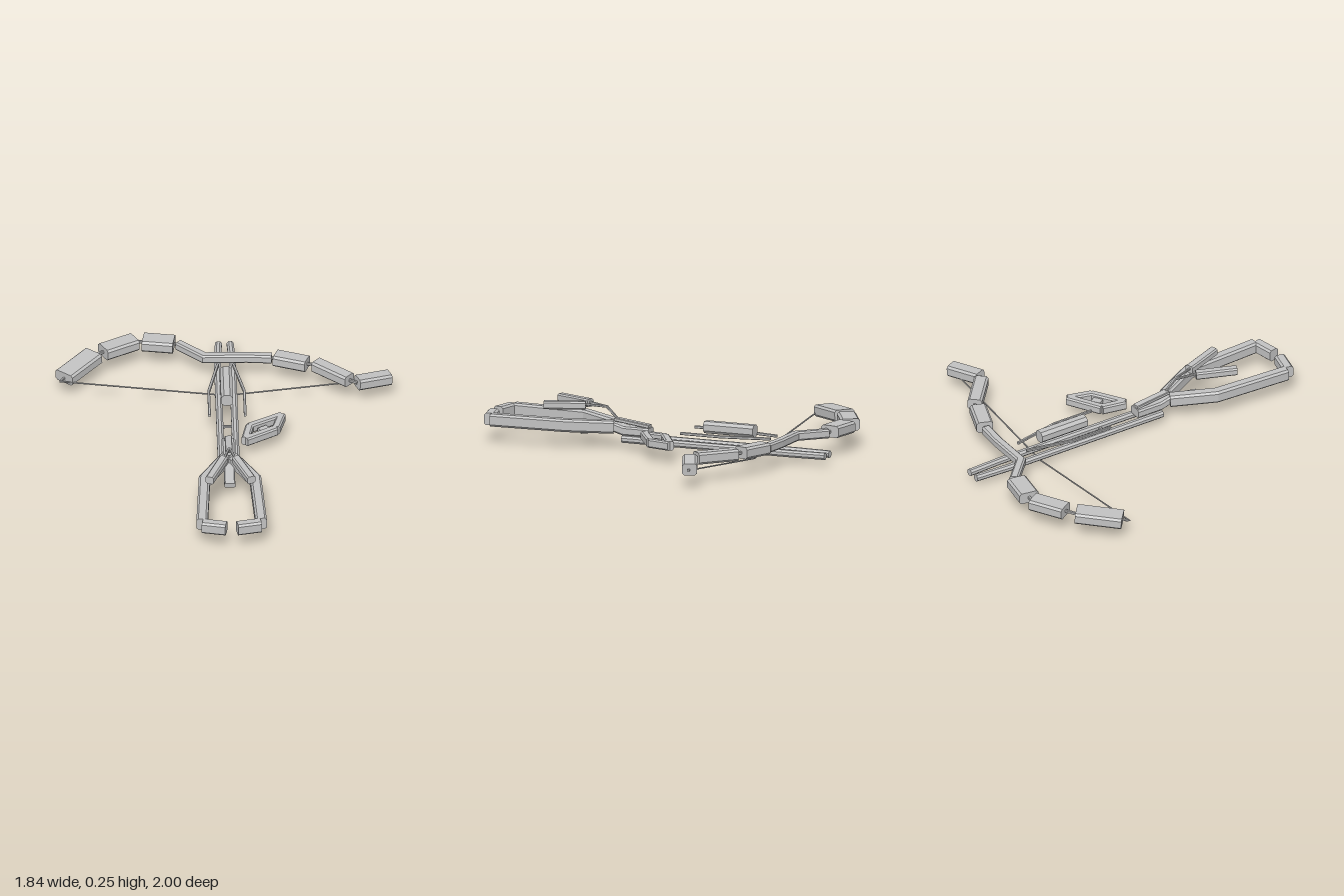
import * as THREE from 'three';

const metal = new THREE.MeshStandardMaterial({ color: 0xc2c2c2, flatShading: true });
metal.name = 'light grey metal';

// Bevelled bar swept along a path with mitred joints
function barGeometry(path, w, h, bevel) {
  const pts = path.map(p => new THREE.Vector3(...p));
  const c = bevel * Math.min(w, h), a = w / 2, b = h / 2;
  const section = [[a, -b + c], [a, b - c], [a - c, b], [-a + c, b],
    [-a, b - c], [-a, -b + c], [-a + c, -b], [a - c, -b]];
  const up = new THREE.Vector3(0, 1, 0), n = section.length;
  const pos = [], idx = [];
  pts.forEach((p, i) => {
    const into = pts[i].clone().sub(pts[Math.max(i - 1, 0)]).normalize();
    const out = pts[Math.min(i + 1, pts.length - 1)].clone().sub(p).normalize();
    if (i === 0) into.copy(out);
    if (i === pts.length - 1) out.copy(into);
    const t = into.clone().add(out).normalize();
    const miter = 1 / Math.max(0.5, t.dot(into));
    const side = t.clone().cross(up).normalize();
    const top = side.clone().cross(t);
    const bendsSideways = Math.abs(out.clone().sub(into).dot(side)) > 0.05;
    for (const [x, y] of section) {
      const v = p.clone().addScaledVector(side, x * (bendsSideways ? miter : 1))
        .addScaledVector(top, y * (bendsSideways ? 1 : miter));
      pos.push(v.x, v.y, v.z);
    }
  });
  const last = (pts.length - 1) * n;
  for (let i = 0; i < last; i += n) {
    for (let k = 0; k < n; k++) {
      const k2 = (k + 1) % n;
      idx.push(i + k, i + n + k, i + n + k2, i + k, i + n + k2, i + k2);
    }
  }
  for (let k = 1; k < n - 1; k++) {
    idx.push(0, k, k + 1, last, last + k + 1, last + k);
  }
  const g = new THREE.BufferGeometry();
  g.setAttribute('position', new THREE.Float32BufferAttribute(pos, 3));
  g.setIndex(idx);
  const flat = g.toNonIndexed();
  flat.computeVertexNormals();
  return flat;
}

export function createModel() {
  const model = new THREE.Group();
  model.name = 'crossbow';
  const bar = (name, path, w, h = w, bevel = 0.18) => {
    const m = new THREE.Mesh(barGeometry(path, w, h, bevel), metal);
    m.name = name;
    model.add(m);
  };

  // Limb blocks: start, end, width
  const blocks = [
    [[-0.875, 0.113, -0.595], [-0.71, 0.128, -0.79], 0.12],
    [[-0.657, 0.13, -0.824], [-0.483, 0.13, -0.924], 0.105],
    [[-0.438, 0.13, -0.92], [-0.27, 0.13, -0.893], 0.112],
    [[0.28, 0.13, -0.745], [0.451, 0.13, -0.68], 0.092],
    [[0.499, 0.13, -0.67], [0.678, 0.13, -0.512], 0.08],
    [[0.72, 0.125, -0.493], [0.896, 0.11, -0.568], 0.082],
  ];
  for (const [from, to, w] of blocks) bar('limbBlock', [from, to], w, 0.065);

  // Central riser
  const riser = [[-0.245, 0.125, -0.893], [-0.108, 0.125, -0.761],
    [0.124, 0.125, -0.761], [0.26, 0.125, -0.75]];
  bar('riser', riser, 0.05);

  // Thin links between neighbouring limb pieces
  const joints = [
    [blocks[0][1], blocks[1][0]], [blocks[1][1], blocks[2][0]], [blocks[2][1], riser[0]],
    [riser[3], blocks[3][0]], [blocks[3][1], blocks[4][0]], [blocks[4][1], blocks[5][0]],
  ];
  for (const j of joints) bar('limbLink', j, 0.016);

  // Limb tips and string
  bar('limbTip', [[-0.895, 0.108, -0.568], [-0.86, 0.113, -0.61]], 0.012);
  bar('limbTip', [[0.88, 0.11, -0.565], [0.912, 0.108, -0.565]], 0.012);
  bar('bowString', [[-0.9, 0.108, -0.565], [0.006, 0.005, -0.565], [0.912, 0.108, -0.565]], 0.007);

  // Paired parts on both sides
  const ox = 0.006;
  for (const s of [-1, 1]) {
    const at = (x, y, z) => [s * x + ox, y, z];
    bar('rail', [at(0.032, 0.058, -1), at(0.041, 0.058, -0.8), at(0.041, 0.058, 0.2)], 0.038, 0.038, 0.29);
    bar('sideRod', [at(0.043, 0.13, -0.68), at(0.097, 0.13, -0.41), at(0.097, 0.13, -0.17)], 0.015);
    bar('stockArm', [at(0.024, 0.118, 0.26), at(0.139, 0.13, 0.49), at(0.161, 0.13, 0.925)], 0.062, 0.07);
    bar('buttPiece', [at(0.158, 0.13, 0.94), at(0.03, 0.13, 0.968)], 0.06, 0.068);
    bar('cheekBar', [at(0.033, 0.227, 0.422), at(0.114, 0.227, 0.635)], 0.047, 0.044);
    bar('cheekSupport', [at(0, 0.165, 0.25), at(0.003, 0.222, 0.31), at(0.032, 0.232, 0.43)], 0.012);
  }

  // Barrel, body and grip along the centre line
  bar('barrel', [[ox, 0.158, -0.57], [ox, 0.158, -0.275]], 0.066, 0.066, 0.25);
  bar('railCrossbar', [[-0.03, 0.06, -0.165], [0.042, 0.06, -0.165]], 0.014);
  bar('body', [[ox, 0.1, 0.05], [ox, 0.1, 0.2], [ox, 0.125, 0.29]], 0.076, 0.05);
  bar('bodyRidge', [[ox, 0.132, 0.055], [ox, 0.158, 0.26]], 0.04, 0.02);
  bar('grip', [[ox, 0.115, 0.22], [ox, 0.078, 0.455]], 0.06, 0.03);

  // Diamond-shaped side frame with a small core
  const corners = [[0.1, 0.1, 0.045], [0.125, 0.1, -0.088], [0.302, 0.1, -0.193], [0.268, 0.1, -0.062]];
  corners.forEach((p, i) => bar('sideFrame', [p, corners[(i + 1) % 4]], 0.045, 0.05));
  bar('frameCore', [[0.18, 0.1, -0.055], [0.225, 0.1, -0.085]], 0.045, 0.02);

  return model;
}
